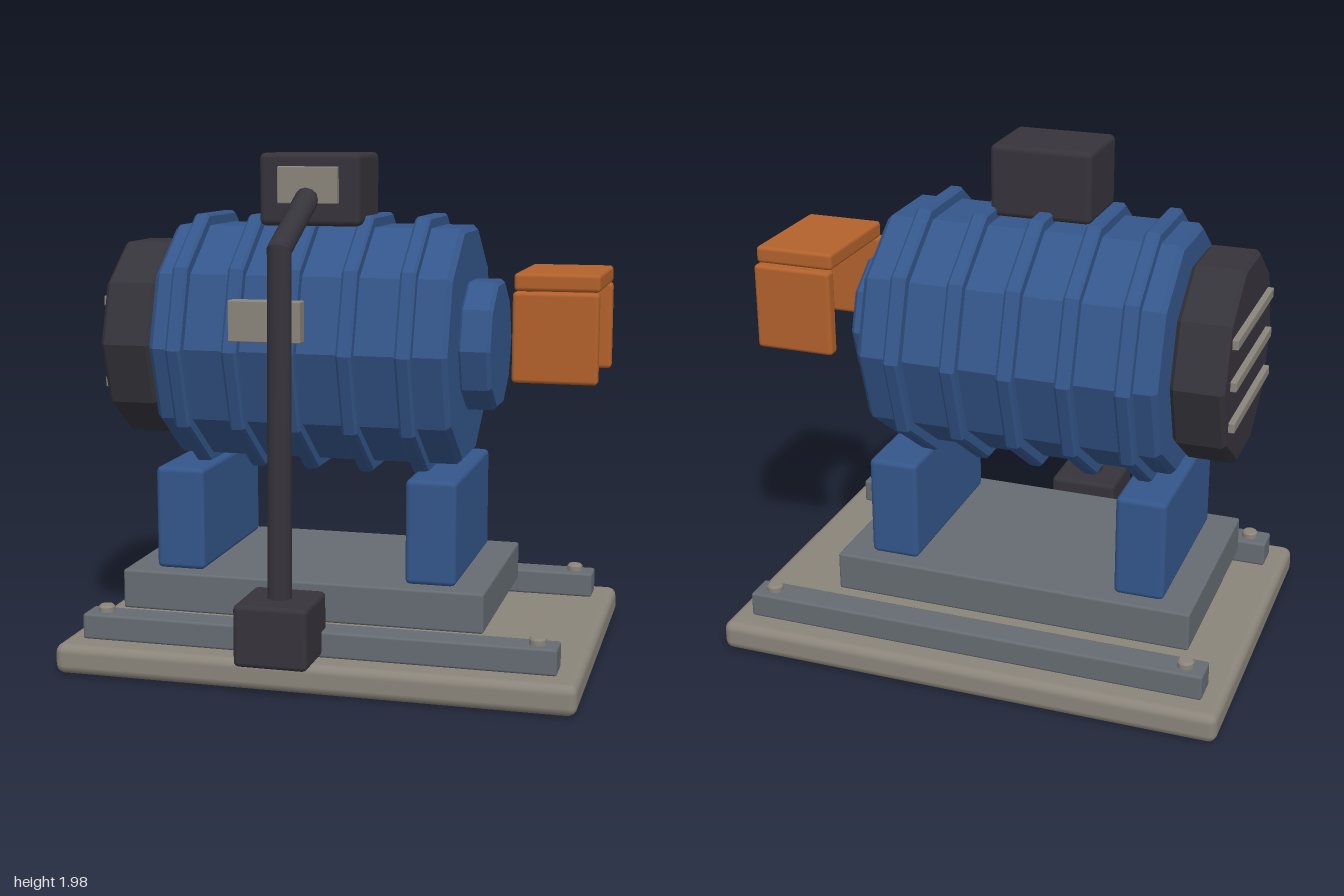
import * as THREE from 'three';
import { toCreasedNormals } from 'three/addons/utils/BufferGeometryUtils.js';
import { RoundedBoxGeometry } from 'three/addons/geometries/RoundedBoxGeometry.js';

const material = (name, color) => {
  const m = new THREE.MeshStandardMaterial({ color });
  m.name = name;
  return m;
};

export function createModel() {
  const blue = material('blue paint', 0x34568b);
  const dark = material('charcoal', 0x36343b);
  const steel = material('slate steel', 0x656c72);
  const stone = material('warm grey', 0x8b857b);
  const orange = material('safety orange', 0xb3622c);

  const model = new THREE.Group();
  model.name = 'electricMotor';

  const add = (name, geometry, mat) => {
    const mesh = new THREE.Mesh(geometry, mat);
    mesh.name = name;
    model.add(mesh);
    return mesh;
  };

  // Rounded block given by its limits on each axis
  const block = (name, mat, [x0, x1], [y0, y1], [z0, z1], radius = 0.015) => {
    const g = new RoundedBoxGeometry(x1 - x0, y1 - y0, z1 - z0, 2, radius);
    g.translate((x0 + x1) / 2, (y0 + y1) / 2, (z0 + z1) / 2);
    return add(name, g, mat);
  };

  // Ten-sided drum with bevelled rims, lying along x on the motor axis
  const axisY = 1.245, axisZ = -0.053;
  const drum = (name, mat, x0, x1, radius, bevel) => {
    const profile = [
      [0, x0], [radius - bevel, x0], [radius, x0 + bevel],
      [radius, x1 - bevel], [radius - bevel, x1], [0, x1],
    ].map(([r, x]) => new THREE.Vector2(r, x));
    const g = new THREE.LatheGeometry(profile, 10);
    g.rotateZ(-Math.PI / 2);
    g.translate(0, axisY, axisZ);
    return add(name, toCreasedNormals(g, 0.3), mat);
  };

  // Base, plinth and feet
  block('basePlate', stone, [-1, 1], [0.005, 0.122], [-0.75, 0.645], 0.035);
  block('plinth', steel, [-0.82, 0.615], [0.205, 0.36], [-0.47, 0.37], 0.01);
  for (const x of [-0.603, 0.397]) {
    block('foot', blue, [x - 0.098, x + 0.098], [0.36, 0.765], [-0.407, 0.308], 0.02);
  }

  // Side rails with bolts
  for (const z of [-0.595, 0.485]) {
    block('rail', steel, [-0.92, 0.915], [0.122, 0.222], [z - 0.06, z + 0.06], 0.01);
    for (const x of [-0.843, 0.837]) {
      const head = [[0, 0.215], [0.032, 0.215], [0.032, 0.241], [0.025, 0.249], [0, 0.249]]
        .map(([r, y]) => new THREE.Vector2(r, y));
      const g = new THREE.LatheGeometry(head, 14).translate(x, 0, z);
      add('bolt', toCreasedNormals(g, 0.6), stone);
    }
  }

  // Motor housing, ribs, end hub and fan cover
  drum('housing', blue, -0.68, 0.476, 0.476, 0.02);
  for (let i = 0; i < 5; i++) {
    const x = -0.565 + i * 0.221;
    drum('rib', blue, x - 0.03, x + 0.03, 0.522, 0.01);
  }
  drum('endHub', blue, 0.47, 0.597, 0.26, 0.015);
  drum('fanCover', dark, -0.905, -0.705, 0.4, 0.016);
  for (const y of [1.085, 1.245, 1.405]) {
    block('ventSlat', stone, [-0.928, -0.895], [y - 0.02, y + 0.02], [-0.355, 0.245], 0.005);
  }

  // Coupling guard
  block('guardTop', orange, [0.68, 1], [1.475, 1.542], [-0.288, 0.185]);
  for (const z of [-0.288, 0.188]) {
    block('guardSide', orange, [0.68, 1], [1.135, 1.475], [z - 0.028, z + 0.028]);
  }

  // Terminal box and label plates
  block('terminalBox', dark, [-0.3, 0.096], [1.705, 1.98], [-0.11, 0.206], 0.022);
  block('terminalLabel', stone, [-0.22, 0.015], [1.79, 1.93], [0.195, 0.234], 0.005);
  block('namePlate', stone, [-0.345, -0.065], [1.287, 1.442], [0.4, 0.463], 0.005);

  // Junction box on the floor rail
  block('junctionBox', dark, [-0.243, 0.037], [0.127, 0.362], [0.47, 0.75], 0.02);

  // Conduit: a cylinder whose three rings are set square to a bent path
  const rings = [ // centre y, centre z, ring's forward direction in y and z
    { y: 0.3, z: 0.608, ny: 0, nz: 1 },
    { y: 1.638, z: 0.588, ny: 0.55, nz: 0.835 },
    { y: 1.81, z: 0.225, ny: 0.904, nz: 0.428 },
  ];
  const conduit = new THREE.CylinderGeometry(0.046, 0.046, 2, 12, 2);
  const p = conduit.attributes.position;
  for (let i = 0; i < p.count; i++) {
    const ring = rings[Math.round(p.getY(i)) + 1];
    const out = p.getZ(i);
    p.setXYZ(i, p.getX(i) - 0.104, ring.y + out * ring.ny, ring.z + out * ring.nz);
  }
  add('conduit', toCreasedNormals(conduit, 0.7), dark);

  return model;
}
